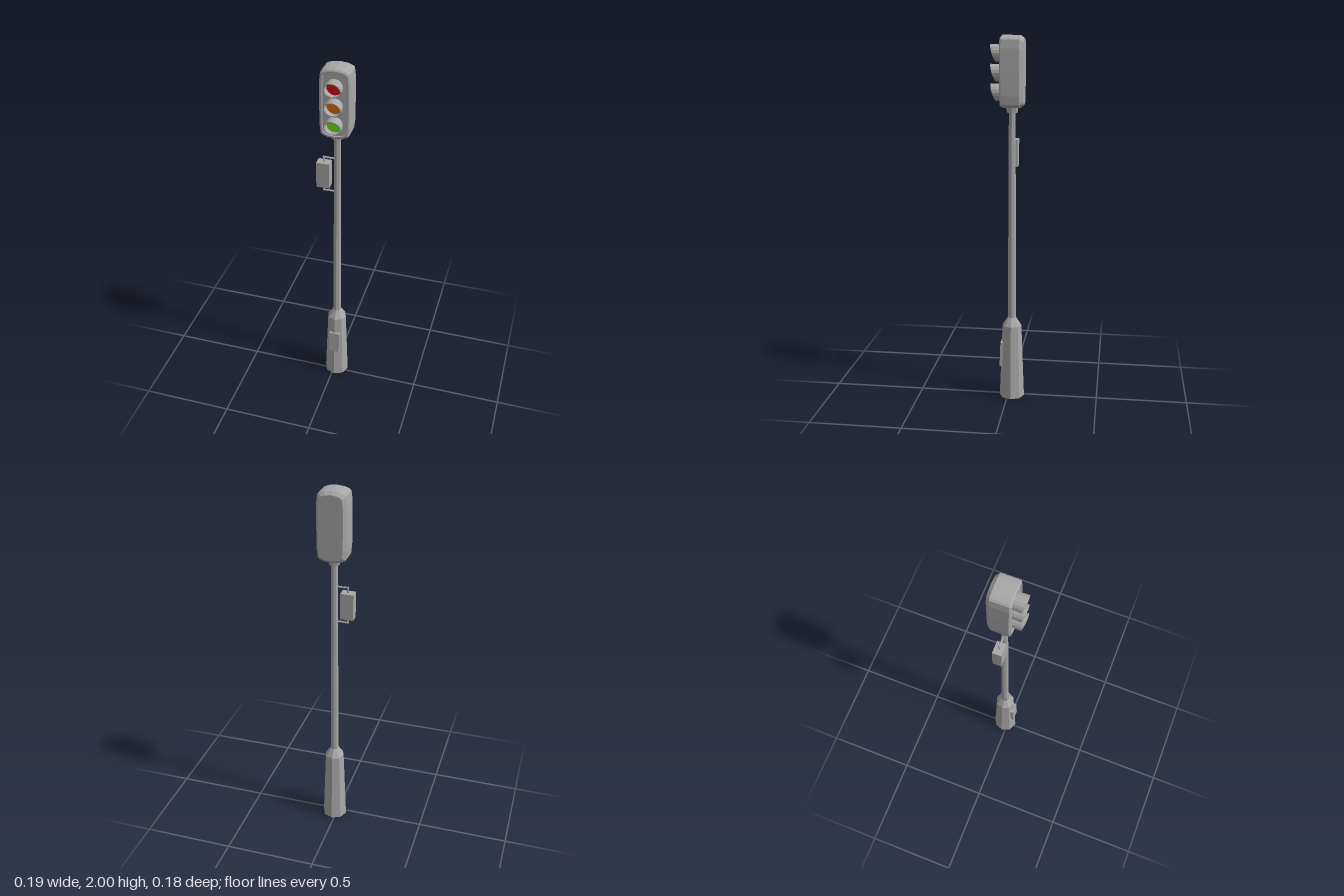
import * as THREE from 'three';

const CX = 0.0135, CZ = -0.022; // pole axis

const mat = (name, color) => {
  const m = new THREE.MeshStandardMaterial({ color });
  m.name = name;
  return m;
};

// Give every face its own normal
function flat(geometry) {
  const g = geometry.index ? geometry.toNonIndexed() : geometry;
  g.computeVertexNormals();
  return g;
}

// Skin a row of rings running back to front; each ring is counter-clockwise seen from +z
function loft(rings, caps) {
  const n = rings[0].length, pos = [], index = [];
  rings.forEach(r => r.forEach(p => pos.push(...p)));
  for (let k = 0; k < rings.length - 1; k++)
    for (let i = 0; i < n; i++) {
      const j = (i + 1) % n, a = k * n, b = a + n;
      index.push(a + i, a + j, b + j, a + i, b + j, b + i);
    }
  if (caps) {
    const e = (rings.length - 1) * n;
    for (let i = 1; i < n - 1; i++) index.push(0, i + 1, i, e, e + i, e + i + 1);
  }
  const g = new THREE.BufferGeometry();
  g.setAttribute('position', new THREE.Float32BufferAttribute(pos, 3));
  g.setIndex(index);
  return flat(g);
}

// Housing outline: arched top and bottom, slightly bulging sides
const HW = 0.0795, HH = 0.1875;
function housingRing(z, inset) {
  const q = [[HW, 0], [0.0785, 0.12], [0.073, 0.165], [0.064, 0.174], [0.04, 0.183], [0, HH]];
  const half = [...q, ...q.slice(0, -1).reverse().map(([x, y]) => [-x, y])];
  const full = [...half, ...half.slice(1, -1).reverse().map(([x, y]) => [x, -y])];
  return full.map(([x, y]) => [x * (1 - inset / HW), y * (1 - inset / HH), z]);
}

// Hood whose front rim reaches furthest at the top
function visorGeometry() {
  const n = 16;
  const ring = (r, zAt) => Array.from({ length: n }, (_, i) => {
    const a = i / n * Math.PI * 2;
    return [r * Math.cos(a), r * Math.sin(a), zAt(Math.sin(a))];
  });
  const base = () => 0.03;
  const rim = s => 0.061 + 0.031 * Math.pow(Math.max(0, (s + 1) / 2), 0.7);
  return loft([ring(0.043, base), ring(0.0455, rim), ring(0.041, rim), ring(0.039, base)], false);
}

export function createModel() {
  const model = new THREE.Group();
  model.name = 'trafficLight';
  const grey = mat('metalGrey', 0xa8a8a8);
  const lensMats = [mat('lensRed', 0xcc0a10), mat('lensOrange', 0xd0660c), mat('lensGreen', 0x66dc0a)];

  const add = (name, geometry, material, x, y, z, parent = model) => {
    const m = new THREE.Mesh(geometry, material);
    m.name = name;
    m.position.set(x, y, z);
    parent.add(m);
    return m;
  };
  const post = (name, rTop, rBottom, y0, y1) => add(name,
    flat(new THREE.CylinderGeometry(rTop, rBottom, y1 - y0, 8)), grey, CX, (y0 + y1) / 2, CZ);

  // Octagonal base, shoulder, pole and neck
  post('base', 0.053, 0.069, 0, 0.42);
  post('baseShoulder', 0.024, 0.053, 0.42, 0.465);
  post('pole', 0.018, 0.023, 0.46, 1.605);
  post('neck', 0.034, 0.028, 1.6, 1.632);

  // Service door on the front of the base
  const door = add('serviceDoor', flat(new THREE.BoxGeometry(0.06, 0.14, 0.03)), grey, CX, 0.25, 0.027);
  door.rotation.x = -0.035;

  // Lamp housing with chamfered back and recessed front
  const head = new THREE.Group();
  head.name = 'lampHead';
  head.position.set(CX, 1.8125, 0);
  model.add(head);
  const sections = [[-0.086, 0.016], [-0.067, 0], [0.03, 0], [0.037, 0.008], [0.037, 0.014], [0.032, 0.017]];
  add('housing', loft(sections.map(([z, inset]) => housingRing(z, inset)), true), grey, 0, 0, 0, head);

  // Three lenses with hoods
  const visor = visorGeometry();
  const lens = new THREE.CircleGeometry(0.0395, 16);
  ['red', 'orange', 'green'].forEach((c, i) => {
    const y = 0.0955 - i * 0.101;
    add(c + 'Visor', visor, grey, 0, y, 0, head);
    add(c + 'Lens', lens, lensMats[i], 0, y, 0.039, head);
  });

  // Control box hung on two bent brackets
  add('controlBox', flat(new THREE.BoxGeometry(0.07, 0.146, 0.05)), grey, -0.06, 1.378, CZ);
  for (const s of [1, -1]) {
    const y = 1.378 + s * 0.1;
    const arm = add(s > 0 ? 'upperBracketArm' : 'lowerBracketArm',
      flat(new THREE.CylinderGeometry(0.005, 0.005, 0.074, 6)), grey, -0.028, y, CZ);
    arm.rotation.z = Math.PI / 2;
    add(s > 0 ? 'upperBracketPin' : 'lowerBracketPin',
      flat(new THREE.CylinderGeometry(0.005, 0.005, 0.04, 6)), grey, -0.06, y - s * 0.015, CZ);
  }
  return model;
}
